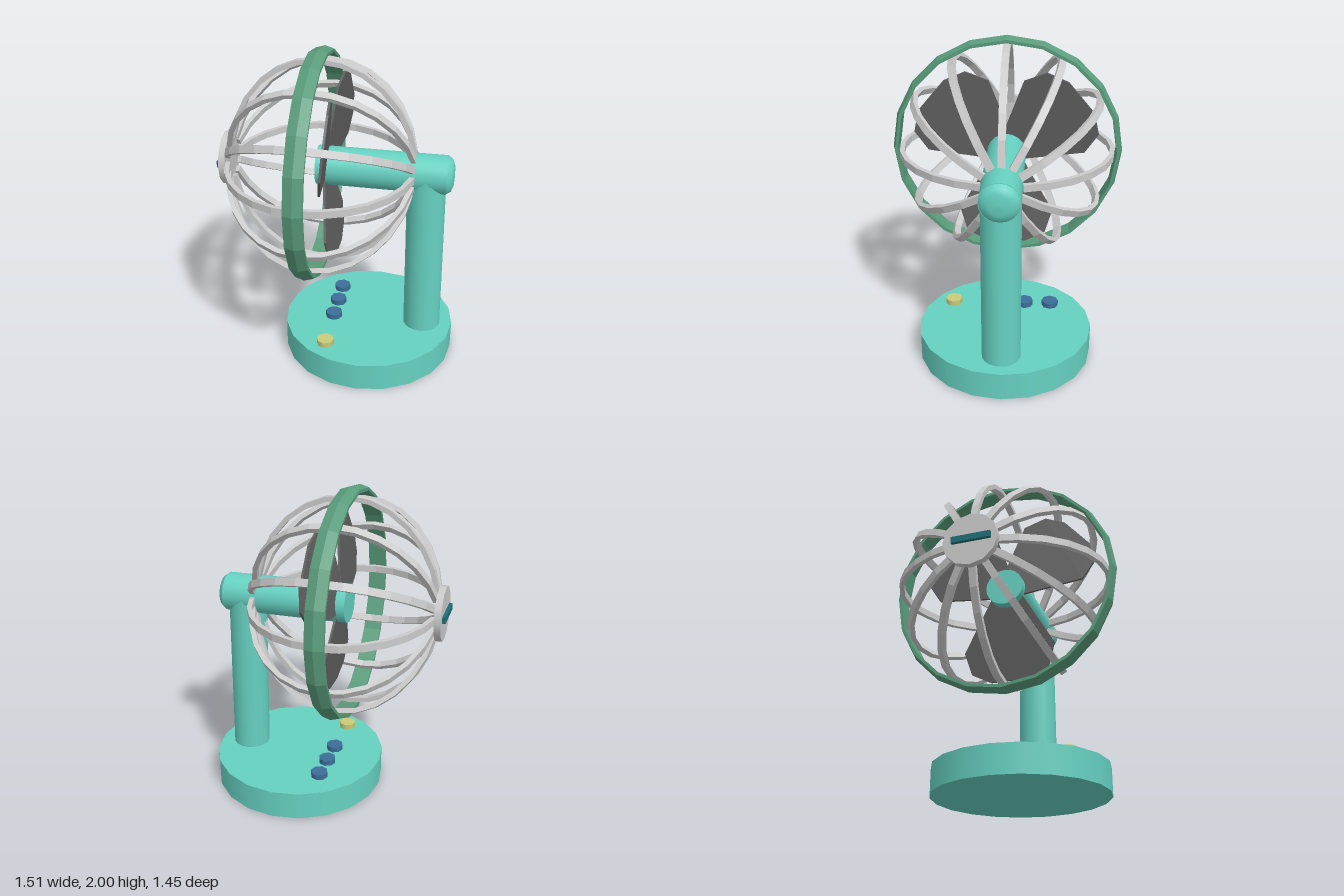
import * as THREE from 'three';

const mat = (color, flatShading = false) => new THREE.MeshStandardMaterial({ color, flatShading });
const TEAL = mat(0x66d1c1), GREEN = mat(0x5a9c7c, true), GREY = mat(0xcccccc);
const DARK = mat(0x606060), BLUE = mat(0x3c6e99), YELLOW = mat(0xc9cc7a), NAVY = mat(0x1f6f78);

function add(parent, name, geometry, material, x = 0, y = 0, z = 0) {
  const mesh = new THREE.Mesh(geometry, material);
  mesh.name = name;
  mesh.position.set(x, y, z);
  parent.add(mesh);
  return mesh;
}

const lathe = (pts, sides) =>
  new THREE.LatheGeometry(pts.map(([r, y]) => new THREE.Vector2(r, y)), sides);

// Curved guard rib: a strip between two half ellipses, in the (radius, forward) plane
function ribGeometry() {
  const outer = [], inner = [], n = 12, end = 1.385;
  for (let i = 0; i <= n; i++) {
    const t = -end + (2 * end * i) / n;
    const a = t > 0 ? 0.57 : 0.62;
    outer.push(new THREE.Vector2(0.68 * Math.cos(t), 0.14 + a * Math.sin(t)));
    inner.push(new THREE.Vector2(0.65 * Math.cos(t), 0.14 + (a - 0.03) * Math.sin(t)));
  }
  const shape = new THREE.Shape([...outer, ...inner.reverse()]);
  return new THREE.ExtrudeGeometry(shape, { depth: 0.044, bevelEnabled: false }).translate(0, 0, -0.022);
}

// Flat angular blade, leaning backward towards its tip
function bladeGeometry() {
  const half = [[0.09, 0.03], [0.295, 0.39], [0.25, 0.535], [0.125, 0.6]];
  const pts = [...half, ...half.map(([u, v]) => [-u, v]).reverse()];
  const shape = new THREE.Shape(pts.map(([u, v]) => new THREE.Vector2(u, v)));
  return new THREE.ExtrudeGeometry(shape, { depth: 0.014, bevelEnabled: false })
    .translate(0, 0, -0.007)
    .rotateX(Math.PI / 2 + 0.13);
}

export function createModel() {
  const fan = new THREE.Group();
  fan.name = 'deskFan';

  // Base and buttons
  add(fan, 'base', new THREE.CylinderGeometry(0.555, 0.555, 0.18, 20), TEAL, 0.195, 0.09, -0.01);
  const button = new THREE.CylinderGeometry(0.055, 0.055, 0.04, 8);
  for (const z of [-0.3, -0.13, 0.04]) add(fan, 'speedButton', button, BLUE, -0.035, 0.195, z);
  add(fan, 'powerButton', button, YELLOW, -0.035, 0.195, 0.35);

  // Column, leaning slightly towards the head
  const column = add(fan, 'column', new THREE.CylinderGeometry(0.12, 0.12, 1.1, 20), TEAL, 0.543, 0.71, -0.005);
  column.rotation.z = 0.014;

  // Head: local +y is the blowing direction, local +x points up
  const head = new THREE.Group();
  head.name = 'head';
  head.position.set(0, 1.273, -0.005);
  head.rotation.z = Math.PI / 2 - 0.012;
  fan.add(head);

  // Motor housing with a shallow domed rear
  add(head, 'motorHousing', new THREE.CylinderGeometry(0.122, 0.122, 0.8, 20), TEAL, 0, -0.26, 0);
  add(head, 'rearDome', lathe([[0, -0.705], [0.06, -0.702], [0.1, -0.688], [0.122, -0.655]], 20), TEAL);

  // Blades
  const blade = bladeGeometry();
  for (const deg of [-90, 40, 140]) {
    add(head, 'blade', blade, DARK, 0, 0.09, 0).rotation.y = THREE.MathUtils.degToRad(deg);
  }

  // Guard: ribs, outer ring and front cap
  const rib = ribGeometry();
  for (let i = 0; i < 12; i++) add(head, 'guardRib', rib, GREY).rotation.y = (i * Math.PI) / 6;
  const ring = [[0.69, 0.085], [0.71, 0.085], [0.727, 0.142], [0.71, 0.2], [0.69, 0.2], [0.69, 0.085]];
  add(head, 'guardRing', lathe(ring, 20), GREEN);
  add(head, 'frontCap', new THREE.CylinderGeometry(0.17, 0.17, 0.04, 12), GREY, 0, 0.714, 0);
  add(head, 'trimBar', new THREE.BoxGeometry(0.04, 0.022, 0.24), NAVY, 0, 0.744, 0.01);

  return fan;
}
